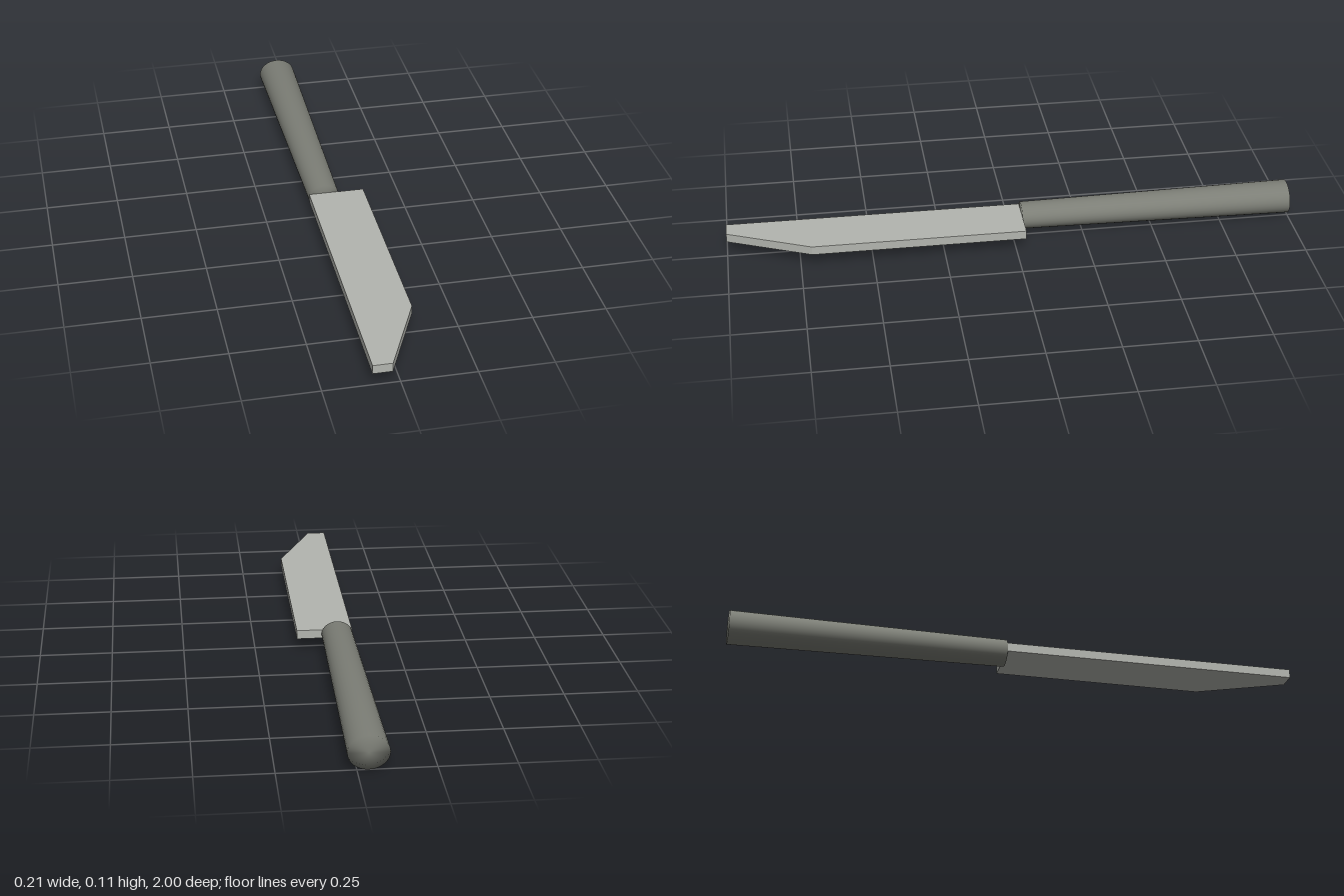
import * as THREE from 'three';

export function createModel() {
  const group = new THREE.Group();
  const steel = new THREE.MeshStandardMaterial({ color: 0xb3b5af });
  steel.name = 'steel';
  const grip = new THREE.MeshStandardMaterial({ color: 0x7c7e76 });
  grip.name = 'darkGrip';

  // Blade: straight spine, angled tip; outline drawn as (x, z)
  const outline = [[-0.09, -0.035], [0.104, -0.035], [0.104, 0.71], [-0.025, 1], [-0.09, 1]];
  const shape = new THREE.Shape(outline.map(([x, z]) => new THREE.Vector2(x, z)));
  const bladeGeometry = new THREE.ExtrudeGeometry(shape, { depth: 0.031, bevelEnabled: false });
  bladeGeometry.rotateX(Math.PI / 2); // shape y becomes z, thickness hangs downwards
  const blade = new THREE.Mesh(bladeGeometry, steel);
  blade.name = 'blade';
  blade.position.y = 0.075;
  group.add(blade);

  // Handle: oval tapered grip, widest at the butt
  const profile = [[0, -1], [0.067, -1], [0.054, -0.035], [0, -0.035]];
  const handleGeometry = new THREE.LatheGeometry(profile.map(([r, z]) => new THREE.Vector2(r, z)), 32);
  handleGeometry.rotateX(Math.PI / 2);
  handleGeometry.scale(1, 0.85, 1);
  const handle = new THREE.Mesh(handleGeometry, grip);
  handle.name = 'handle';
  handle.position.set(-0.037, 0.059, 0);
  group.add(handle);

  return group;
}
